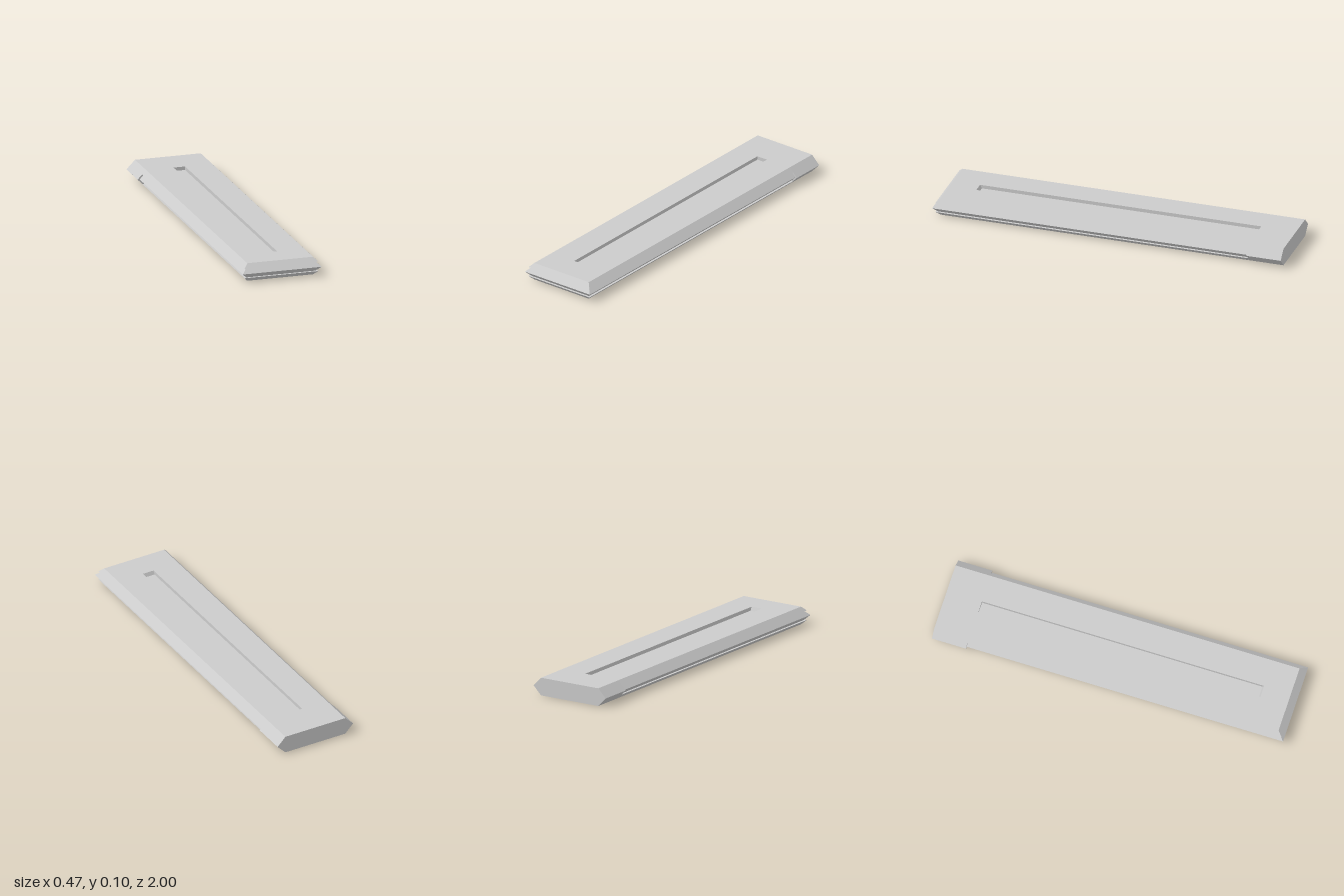
import * as THREE from 'three';

const HALF_H = 0.05;                 // half thickness
const TOP_X = 0.188, TOP_Z = 0.963;  // flat face half width and front edge
const STEP_Z = -0.805;               // where the grooved body meets the plain tail
const SLOT = { x: 0.033, back: -0.8, front: 0.81, floorFront: 0.8, depth: 0.02 };

const material = new THREE.MeshStandardMaterial({ color: 0xcccccc, flatShading: true });

function addMesh(parent, name, geometry) {
  const mesh = new THREE.Mesh(geometry, material);
  mesh.name = name;
  parent.add(mesh);
  return mesh;
}

// Flat-faced surface through successive rows of [x, y, z] points
function strip(rows, closed = false) {
  const out = [];
  for (let i = 0; i + 1 < rows.length; i++) {
    const n = rows[i].length;
    for (let j = 0; j < (closed ? n : n - 1); j++) {
      const k = (j + 1) % n;
      const a = rows[i][j], b = rows[i][k], c = rows[i + 1][k], d = rows[i + 1][j];
      out.push(...a, ...d, ...c, ...a, ...c, ...b);
    }
  }
  const geometry = new THREE.BufferGeometry();
  geometry.setAttribute('position', new THREE.Float32BufferAttribute(out, 3));
  geometry.computeVertexNormals();
  return geometry;
}

function rectangle(x, back, front, Type = THREE.Shape) {
  return new Type([[-x, -front], [x, -front], [x, -back], [-x, -back]]
    .map(([px, py]) => new THREE.Vector2(px, py)));
}

// One broad face with its shallow slot, facing up
function createFace(name) {
  const face = new THREE.Group();
  face.name = name;
  const shape = rectangle(TOP_X, STEP_Z, TOP_Z);
  shape.holes.push(rectangle(SLOT.x, SLOT.back, SLOT.front, THREE.Path));
  addMesh(face, 'flatFace', new THREE.ShapeGeometry(shape).rotateX(-Math.PI / 2).translate(0, HALF_H, 0));

  const ring = (y, front) => [
    [SLOT.x, y, SLOT.back], [SLOT.x, y, front], [-SLOT.x, y, front], [-SLOT.x, y, SLOT.back],
  ];
  const floorY = HALF_H - SLOT.depth;
  addMesh(face, 'slotWalls', strip([ring(HALF_H, SLOT.front), ring(floorY, SLOT.floorFront)], true));
  addMesh(face, 'slotFloor', new THREE.ShapeGeometry(rectangle(SLOT.x, SLOT.back, SLOT.floorFront))
    .rotateX(-Math.PI / 2).translate(0, floorY, 0));
  return face;
}

export function createModel() {
  const model = new THREE.Group();
  model.name = 'slottedBar';
  const bar = new THREE.Group();
  bar.name = 'bar';
  bar.position.y = HALF_H;
  model.add(bar);

  // Upper and lower faces
  const upper = createFace('upperFace');
  const lower = createFace('lowerFace');
  lower.rotation.z = Math.PI;
  bar.add(upper, lower);

  // Stepped rim: bevel, lip, pointed middle ridge, lip, bevel [outset, y]
  const rim = [[0, 0.05], [0.023, 0.027], [0.01, 0.027], [0.037, 0], [0.01, -0.027], [0.023, -0.027], [0, -0.05]];
  addMesh(bar, 'steppedRim', strip(rim.map(([d, y]) => [
    [-TOP_X - d, y, STEP_Z], [-TOP_X - d, y, TOP_Z + d], [TOP_X + d, y, TOP_Z + d], [TOP_X + d, y, STEP_Z],
  ])));

  // Plain hexagonal tail block
  const hexagon = new THREE.Shape([
    [-TOP_X, -HALF_H], [TOP_X, -HALF_H], [0.237, 0], [TOP_X, HALF_H], [-TOP_X, HALF_H], [-0.237, 0],
  ].map(([x, y]) => new THREE.Vector2(x, y)));
  addMesh(bar, 'tailBlock', new THREE.ExtrudeGeometry(hexagon, { depth: STEP_Z + 1, bevelEnabled: false })
    .translate(0, 0, -1));

  return model;
}
